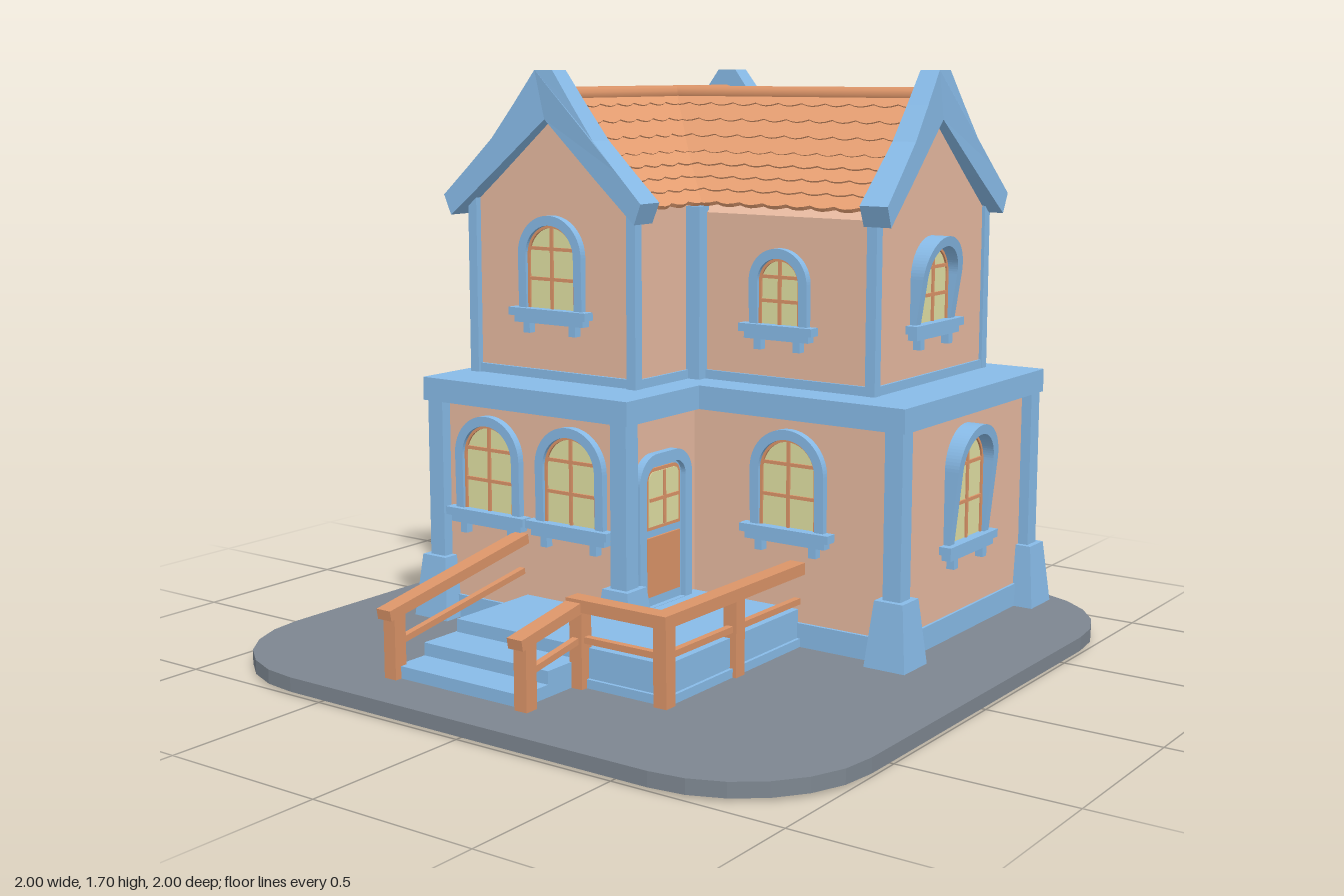
import * as THREE from 'three';

const mat = (name, color) => { const m = new THREE.MeshStandardMaterial({ color }); m.name = name; return m; };

export function createModel() {
  const house = new THREE.Group();
  house.name = 'house';
  const blue = mat('blue trim', 0x88bbe8), wall = mat('clay wall', 0xe6b9a0), tile = mat('roof tile', 0xe69f72);
  const wood = mat('orange wood', 0xdb9468), glass = mat('window glass', 0xe0dfa2), stone = mat('grey ground', 0x7d8690);

  const add = (parent, name, geo, m, x = 0, y = 0, z = 0) => {
    const mesh = new THREE.Mesh(geo, m);
    mesh.name = name;
    mesh.position.set(x, y, z);
    parent.add(mesh);
    return mesh;
  };
  // Box given by its minimum and maximum corners
  const block = (parent, name, m, x0, x1, y0, y1, z0, z1) => add(parent, name,
    new THREE.BoxGeometry(x1 - x0, y1 - y0, z1 - z0), m, (x0 + x1) / 2, (y0 + y1) / 2, (z0 + z1) / 2);
  const extrude = (shape, depth, curveSegments = 8) =>
    new THREE.ExtrudeGeometry(shape, { depth, bevelEnabled: false, curveSegments });
  const polygon = pts => new THREE.Shape(pts.map(p => new THREE.Vector2(...p)));

  // Ground plate with rounded corners
  const plate = new THREE.Shape(), R = 0.39;
  plate.absarc(1 - R, 1 - R, R, 0, Math.PI / 2);
  plate.absarc(R - 1, 1 - R, R, Math.PI / 2, Math.PI);
  plate.absarc(R - 1, R - 1, R, Math.PI, Math.PI * 1.5);
  plate.absarc(1 - R, R - 1, R, Math.PI * 1.5, Math.PI * 2);
  add(house, 'groundPlate', extrude(plate, 0.041, 3).rotateX(-Math.PI / 2), stone, 0, 0.009, 0);

  // L-shaped storeys and bands: outer x range, wing edge, back, main front, wing front
  const lSlab = (name, m, x0, x1, xw, zb, zm, zf, y0, y1) => add(house, name, extrude(polygon([
    [x0, -zf], [xw, -zf], [xw, -zm], [x1, -zm], [x1, -zb], [x0, -zb]]), y1 - y0).rotateX(-Math.PI / 2), m, 0, y0, 0);
  lSlab('groundFloorWalls', wall, -0.684, 0.684, 0, -0.866, -0.06, 0.279, 0.05, 0.72);
  lSlab('plinth', blue, -0.692, 0.692, 0.01, -0.875, -0.05, 0.288, 0.05, 0.12);
  lSlab('floorLedge', blue, -0.73, 0.722, 0.037, -0.905, -0.03, 0.32, 0.715, 0.785);
  lSlab('upperSkirting', blue, -0.688, 0.558, -0.062, -0.833, -0.147, 0.14, 0.78, 0.812);

  // Corner columns with tapered feet that reach through the plate
  for (const [x, z] of [[-0.69, 0.285], [0, 0.285], [0.688, -0.06], [0.688, -0.865], [-0.69, -0.865]]) {
    block(house, 'column', blue, x - 0.028, x + 0.028, 0.2, 0.72, z - 0.028, z + 0.028);
    const foot = new THREE.CylinderGeometry(0.064, 0.099, 0.24, 4).rotateY(Math.PI / 4).toNonIndexed();
    foot.computeVertexNormals();
    add(house, 'columnFoot', foot, blue, x, 0.12, z);
  }

  // Upper storey: gabled wing and gabled main body
  const roofY = d => d < 0.17 ? 1.62 - d * 1.12 : 1.43 - (d - 0.17) * 0.84;
  const gable = half => polygon([[-half, 0.78], [half, 0.78], [half, roofY(half) - 0.01], [0.17, 1.41],
    [0, 1.6], [-0.17, 1.41], [-half, roofY(half) - 0.01]]);
  add(house, 'upperWingWalls', extrude(gable(0.305), 0.955), wall, -0.375, 0, -0.825);
  add(house, 'upperMainWalls', extrude(gable(0.335), 0.925).rotateY(Math.PI / 2), wall, -0.375, 0, -0.49);
  for (const [x, z] of [[-0.674, 0.134], [-0.076, 0.134], [-0.674, -0.82], [-0.076, -0.82], [0.544, -0.161], [0.544, -0.82]])
    block(house, 'cornerBoard', blue, x - 0.016, x + 0.016, 0.785, 1.32, z - 0.016, z + 0.016);
  block(house, 'innerCornerBoard', blue, -0.08, -0.022, 0.785, 1.3, -0.165, -0.115);

  // Roof slopes: overlapping courses of scalloped tiles; each end can be cut along a valley
  const courses = 8, eave = 0.335;
  function roofSlope(name, x0, x1, x, z, turn, cut0 = 0, cut1 = 0) {
    const slope = new THREE.Group();
    slope.name = name;
    slope.position.set(x, 0, z);
    slope.rotation.y = turn;
    for (let i = 0; i < courses; i++) {
      const d0 = Math.max(0, (i / courses) * eave - 0.012), d1 = ((i + 1) / courses) * eave;
      const y0 = roofY(d0), y1 = roofY(d1) + 0.008;
      const run = Math.hypot(d1 - d0, y1 - y0);
      const left = x0 + cut0 * d0, right = x1 - cut1 * d0, length = right - left;
      const n = Math.round(length / 0.083), pts = [[right, 0], [left, 0]];
      for (let k = 0; k <= n * 4; k++) {
        const phase = k / 4 + (i % 2) * 0.5;
        pts.push([left + (k / (n * 4)) * length, -run + 0.011 * (1 - Math.abs(Math.sin(Math.PI * phase)))]);
      }
      const up = new THREE.Vector3(0, y0 - y1, d0 - d1).normalize(), along = new THREE.Vector3(1, 0, 0);
      const basis = new THREE.Matrix4().makeBasis(along, up, along.clone().cross(up)).setPosition(0, y0, d0);
      add(slope, 'tileCourse', extrude(polygon(pts), 0.012).applyMatrix4(basis), tile);
    }
    house.add(slope);
  }
  roofSlope('mainRoofFront', -0.375, 0.535, 0, -0.487, 0, 0.95, 0);
  roofSlope('mainRoofBack', -0.535, 0.375, 0, -0.487, Math.PI, 0, 0.95);
  roofSlope('wingRoofRight', -0.455, 0.455, -0.375, -0.335, Math.PI / 2);
  roofSlope('wingRoofLeft', -0.455, 0.455, -0.375, -0.335, -Math.PI / 2);
  add(house, 'wingRidge', new THREE.CylinderGeometry(0.025, 0.025, 0.92, 10).rotateX(Math.PI / 2), wood, -0.375, 1.623, -0.335);
  add(house, 'mainRidge', new THREE.CylinderGeometry(0.025, 0.025, 0.91, 10).rotateZ(Math.PI / 2), wood, 0.08, 1.623, -0.487);

  // Flared gable boards, thicker towards the eaves
  const outer = [[0.033, 1.697], [0.11, 1.597], [0.19, 1.497], [0.28, 1.41], [0.37, 1.325], [0.345, 1.265], [0.2, 1.385]];
  const boardShape = polygon([...outer, [0, 1.555], ...outer.map(([x, y]) => [-x, y]).reverse()]);
  for (const [x, z, turn] of [[-0.375, 0.107, 0], [-0.375, -0.775, Math.PI], [0.52, -0.485, Math.PI / 2]]) {
    const geo = extrude(boardShape, 0.06), p = geo.attributes.position;
    for (let i = 0; i < p.count; i++) if (p.getZ(i) > 0.01) p.setZ(i, 0.06 + 0.08 * Math.abs(p.getX(i)));
    geo.computeVertexNormals();
    add(house, 'gableBoard', geo, blue, x, 0, z).rotation.y = turn;
  }

  // Arched outline with top corner radius r
  const arch = (w, h, r, y0 = 0, Kind = THREE.Shape) => {
    const s = new Kind();
    s.moveTo(-w / 2, y0);
    s.lineTo(w / 2, y0);
    s.lineTo(w / 2, h - r);
    s.absarc(w / 2 - r, h - r, r, 0, Math.PI / 2);
    s.absarc(r - w / 2, h - r, r, Math.PI / 2, Math.PI);
    s.lineTo(-w / 2, y0);
    return s;
  };
  const archRing = (w, h, r, t) => {
    const s = arch(w + 2 * t, h + t, r + t, 0);
    s.holes.push(arch(w, h, r, 0.001, THREE.Path));
    return s;
  };
  const turns = { front: 0, right: Math.PI / 2, back: Math.PI, left: -Math.PI / 2 };
  // Group on a wall: u runs along the wall, d is the wall plane
  const onWall = (name, side, u, y, d) => {
    const g = new THREE.Group();
    g.name = name;
    g.rotation.y = turns[side];
    if (side === 'front' || side === 'back') g.position.set(u, y, d);
    else g.position.set(d, y, u);
    house.add(g);
    return g;
  };

  // Arched window; on the side walls the hood leans outwards at the top
  function addWindow(side, u, d, y, w, h) {
    const g = onWall('window', side, u, y, d), lean = side === 'left' || side === 'right' ? 0.035 : 0.004;
    add(g, 'pane', extrude(arch(w, h, w / 2), 0.006), glass);
    add(g, 'sash', extrude(archRing(w - 0.016, h - 0.008, w / 2 - 0.008, 0.01), 0.012), wood);
    block(g, 'upright', wood, -0.005, 0.005, 0, h, 0, 0.012);
    for (const f of [0.36, 0.72]) block(g, 'crossbar', wood, -w * 0.47, w * 0.47, h * f - 0.005, h * f + 0.005, 0, 0.012);
    const hood = extrude(archRing(w, h, w / 2, 0.029), 1, 10), p = hood.attributes.position;
    for (let i = 0; i < p.count; i++) p.setZ(i, p.getZ(i) * (0.02 + lean * p.getY(i) / h));
    hood.computeVertexNormals();
    add(g, 'hood', hood, blue);
    const s = w / 2 + 0.055;
    block(g, 'sill', blue, -s, s, -0.022, 0.002, 0, 0.038);
    block(g, 'sillBase', blue, -s + 0.015, s - 0.015, -0.042, -0.02, 0, 0.03);
    for (const k of [-1, 1]) block(g, 'bracket', blue, k * w * 0.48 - 0.012, k * w * 0.48 + 0.012, -0.073, -0.04, 0, 0.025);
  }
  addWindow('front', -0.5, 0.279, 0.395, 0.19, 0.26);
  addWindow('front', -0.19, 0.279, 0.395, 0.19, 0.26);
  addWindow('front', 0.335, -0.06, 0.395, 0.19, 0.26);
  addWindow('right', -0.465, 0.684, 0.335, 0.19, 0.315);
  for (const x of [0.335, -0.335]) addWindow('back', x, -0.866, 0.335, 0.19, 0.315);
  for (const z of [-0.62, -0.06]) addWindow('left', z, -0.684, 0.335, 0.19, 0.315);
  addWindow('front', -0.375, 0.13, 0.995, 0.18, 0.25);
  addWindow('front', 0.24, -0.155, 0.965, 0.14, 0.195);
  addWindow('right', -0.48, 0.55, 0.965, 0.18, 0.225);
  addWindow('back', -0.375, -0.825, 0.965, 0.18, 0.225);
  addWindow('back', 0.24, -0.825, 0.965, 0.14, 0.195);
  for (const z of [-0.49, -0.1]) addWindow('left', z, -0.68, 0.965, 0.18, 0.225);

  // Door on the inner side of the wing
  const door = onWall('door', 'right', 0.115, 0.16, 0);
  add(door, 'doorLeaf', extrude(arch(0.2, 0.425, 0.05), 0.008), blue);
  add(door, 'doorFrame', extrude(archRing(0.19, 0.418, 0.05, 0.033), 0.025), blue);
  add(door, 'doorSash', extrude(arch(0.162, 0.18, 0.03), 0.006), wood, 0, 0.228, 0.008);
  add(door, 'doorPane', extrude(arch(0.145, 0.16, 0.025), 0.004), glass, 0, 0.238, 0.012);
  block(door, 'doorUpright', wood, -0.005, 0.005, 0.24, 0.397, 0.008, 0.02);
  block(door, 'doorCrossbar', wood, -0.07, 0.07, 0.312, 0.322, 0.008, 0.02);
  block(door, 'doorPanel', wood, -0.08, 0.08, 0.03, 0.205, 0.008, 0.015);

  // Porch deck and steps
  block(house, 'porchDeck', blue, -0.365, 0.37, 0.05, 0.16, -0.055, 0.59);
  block(house, 'porchSkirt', blue, -0.375, 0.38, 0.05, 0.075, -0.05, 0.6);
  block(house, 'upperStep', blue, -0.37, 0.075, 0.05, 0.122, 0.58, 0.72);
  block(house, 'lowerStep', blue, -0.37, 0.075, 0.05, 0.085, 0.7, 0.83);

  // Railings: posts, then bars between two points
  const bar = (name, a, b, w, h) => {
    const from = new THREE.Vector3(...a), to = new THREE.Vector3(...b);
    const mesh = add(house, name, new THREE.BoxGeometry(w, h, from.distanceTo(to)), wood);
    mesh.position.copy(from).lerp(to, 0.5);
    mesh.lookAt(to);
  };
  for (const [x, z, top] of [[-0.375, 0.83, 0.24], [0.09, 0.83, 0.24], [0.09, 0.6, 0.285], [0.37, 0.6, 0.285], [0.37, 0.275, 0.285]])
    block(house, 'railPost', wood, x - 0.021, x + 0.021, 0, top, z - 0.021, z + 0.021);
  bar('handrailLeft', [-0.375, 0.235, 0.87], [-0.375, 0.335, 0.29], 0.05, 0.03);
  bar('lowerRailLeft', [-0.375, 0.147, 0.83], [-0.375, 0.235, 0.29], 0.02, 0.018);
  bar('handrailSteps', [0.09, 0.235, 0.87], [0.09, 0.285, 0.59], 0.05, 0.03);
  bar('lowerRailSteps', [0.09, 0.147, 0.83], [0.09, 0.187, 0.6], 0.02, 0.018);
  bar('handrailFront', [0.065, 0.285, 0.605], [0.395, 0.285, 0.605], 0.05, 0.035);
  bar('lowerRailFront', [0.09, 0.186, 0.6], [0.37, 0.186, 0.6], 0.02, 0.018);
  bar('handrailRight', [0.37, 0.285, 0.63], [0.37, 0.285, -0.05], 0.05, 0.035);
  bar('lowerRailRight', [0.37, 0.186, 0.6], [0.37, 0.186, -0.05], 0.02, 0.018);

  return house;
}
